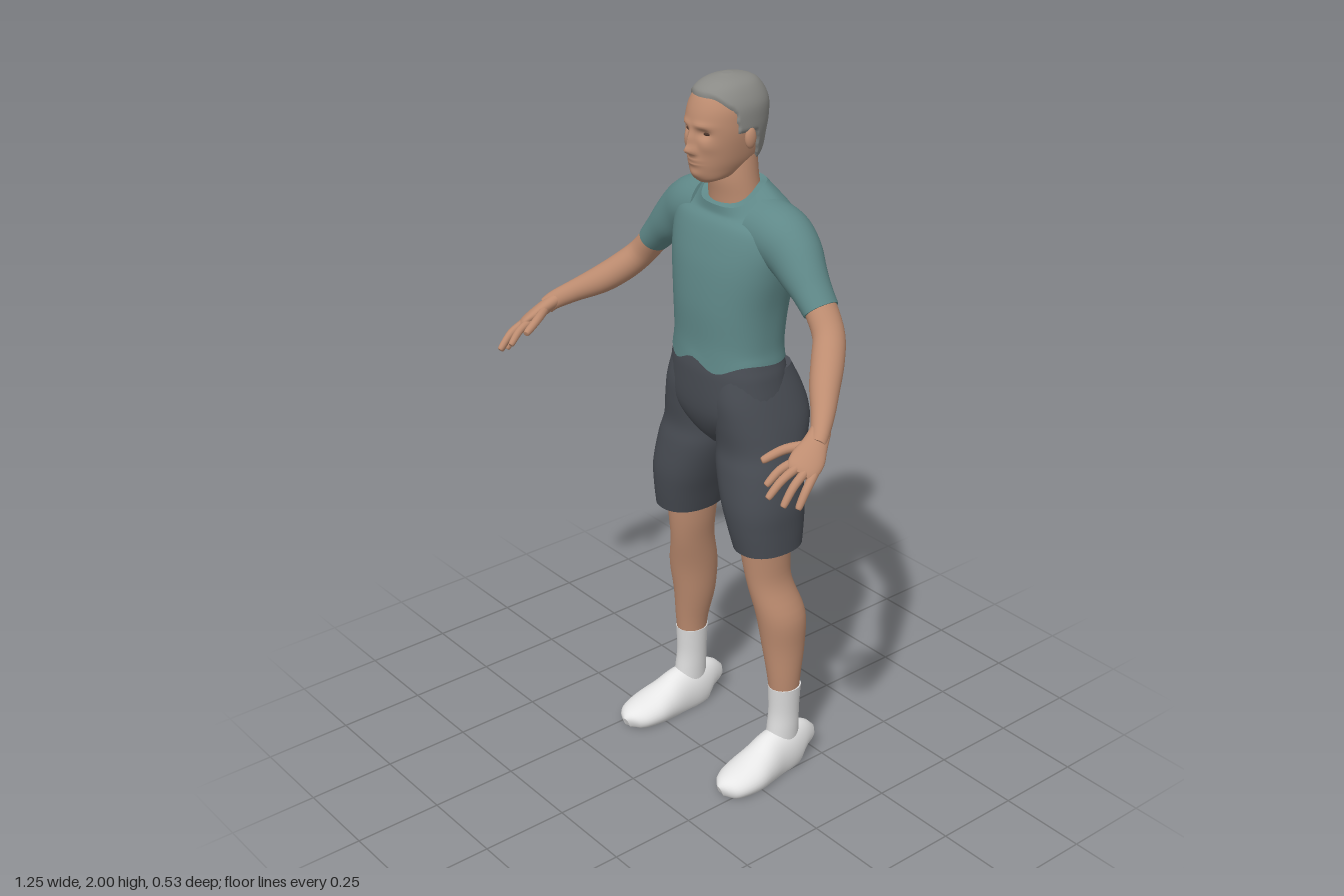
import * as THREE from 'three';

const mat = (name, color) => Object.assign(new THREE.MeshStandardMaterial({ color }), { name });
const V = (x, y, z) => new THREE.Vector3(x, y, z);

// Smooth (Catmull-Rom) interpolation through rows of numbers, t in 0..1
function sampleRows(rows, t) {
  const n = rows.length - 1, f = Math.min(t * n, n - 1e-6), i = Math.floor(f), u = f - i;
  const a = rows[Math.max(i - 1, 0)], b = rows[i], c = rows[i + 1], d = rows[Math.min(i + 2, n)];
  return b.map((p, k) => {
    const m0 = (c[k] - a[k]) / 2, m1 = (d[k] - p) / 2, e = c[k] - p;
    return p + u * (m0 + u * (3 * e - 2 * m0 - m1 + u * (m0 + m1 - 2 * e)));
  });
}

// Loft of superellipse sections; rows are [x, y, z, radiusU, radiusV]
function loft(name, material, rows, { ref = V(1, 0, 0), flat = false, seg = 32, steps = 24, exp = 2, warp } = {}) {
  const pos = [], idx = [], up = V(0, 1, 0);
  const pw = (v) => Math.sign(v) * Math.abs(v) ** (2 / exp);
  for (let i = 0; i <= steps; i++) {
    const r = sampleRows(rows, i / steps);
    const p = sampleRows(rows, Math.max(i / steps - 0.01, 0)), q = sampleRows(rows, Math.min(i / steps + 0.01, 1));
    const t = flat ? up : V(q[0] - p[0], q[1] - p[1], q[2] - p[2]).normalize();
    const u = ref.clone().addScaledVector(t, -ref.dot(t)).normalize();
    const v = t.clone().cross(u);
    for (let j = 0; j < seg; j++) {
      const a = j / seg * Math.PI * 2;
      const pt = V(r[0], r[1], r[2]).addScaledVector(u, r[3] * pw(Math.cos(a))).addScaledVector(v, r[4] * pw(Math.sin(a)));
      if (warp) warp(pt);
      pos.push(pt.x, pt.y, pt.z);
    }
  }
  for (let i = 0; i < steps; i++) for (let j = 0; j < seg; j++) {
    const k = (j + 1) % seg, a = i * seg + j, b = i * seg + k, c = a + seg, d = b + seg;
    idx.push(a, b, c, b, d, c);
  }
  // End caps with their own ring, so hems stay crisp
  for (const end of [0, steps]) {
    const s = end * seg, base = pos.length / 3, c = [0, 0, 0];
    for (let j = 0; j < seg; j++) for (let k = 0; k < 3; k++) {
      const val = pos[(s + j) * 3 + k];
      pos.push(val);
      c[k] += val / seg;
    }
    pos.push(...c);
    for (let j = 0; j < seg; j++) {
      const a = base + j, b = base + (j + 1) % seg;
      end ? idx.push(a, b, base + seg) : idx.push(b, a, base + seg);
    }
  }
  const g = new THREE.BufferGeometry();
  g.setAttribute('position', new THREE.Float32BufferAttribute(pos, 3));
  g.setIndex(idx);
  g.computeVertexNormals();
  const m = new THREE.Mesh(g, material);
  m.name = name;
  return m;
}

// Upright loft; rows are [y, xCentre, halfWidth, zFront, zBack], bottom to top
const column = (name, material, rows, opts) =>
  loft(name, material, rows.map(([y, x, w, f, b]) => [x, y, (f + b) / 2, w, (f - b) / 2]), { flat: true, ...opts });

function ball(name, material, p, s) {
  const m = new THREE.Mesh(new THREE.SphereGeometry(1, 20, 14).scale(...s).translate(...p), material);
  m.name = name;
  return m;
}

function mirrored(mesh) {
  const g = mesh.geometry.clone().scale(-1, 1, 1), ix = g.index.array;
  for (let i = 0; i < ix.length; i += 3) [ix[i], ix[i + 1]] = [ix[i + 1], ix[i]];
  g.computeVertexNormals();
  const m = new THREE.Mesh(g, mesh.material);
  m.name = mesh.name.replace('left', 'right');
  return m;
}

const gauss = (d, s) => Math.exp(-((d / s) ** 2));
const smooth = THREE.MathUtils.smoothstep;

// Face relief: [x, y, spreadX, spreadY, depth], mirrored in x
const FACE = [
  [0, 1.823, 0.012, 0.012, 0.022], [0, 1.848, 0.009, 0.022, 0.014], [0.011, 1.818, 0.007, 0.007, 0.006],
  [0.033, 1.867, 0.016, 0.011, -0.013], [0.03, 1.888, 0.024, 0.008, 0.005], [0, 1.792, 0.022, 0.010, 0.008],
  [0, 1.791, 0.022, 0.003, -0.006], [0, 1.757, 0.022, 0.013, 0.006], [0.045, 1.835, 0.018, 0.016, 0.004],
];
function faceWarp(p) {
  let dz = 0;
  for (const [x, y, sx, sy, d] of FACE) dz += d * gauss(Math.abs(p.x) - x, sx) * gauss(p.y - y, sy);
  p.z += dz * smooth(p.z, -0.04, 0.0);
}

// Height of the hairline for a given z
function hairline(z) {
  if (z > -0.045) return 1.955 - 0.03 * smooth(-z, 0.0, 0.045);
  if (z > -0.11) return 1.925 - 0.06 * smooth(-z, 0.045, 0.055);
  return 1.865 - 0.085 * smooth(-z, 0.11, 0.13);
}
function hairWarp(p) {
  const k = THREE.MathUtils.clamp((p.y - hairline(p.z)) * 0.8, -0.012, 0.006);
  faceWarp(p);
  p.addScaledVector(V(p.x, p.y - 1.88, p.z + 0.08).normalize(), k);
}

export function createModel() {
  const skin = mat('skin', 0xbd8c70), hair = mat('hair', 0x8a8a86), shirt = mat('shirt', 0x5f8888);
  const shorts = mat('shorts', 0x484c53), sock = mat('sock', 0xdadada), shoe = mat('shoe', 0xe6e6e6);
  const eye = mat('eye', 0x4a352b);
  const body = new THREE.Group();
  body.name = 'person';
  const pair = (m) => body.add(m, mirrored(m));

  // Head, hair and neck
  const skull = [
    [1.733, 0, 0.022, 0.002, -0.04], [1.745, 0, 0.045, 0.014, -0.09], [1.77, 0, 0.06, 0.024, -0.15],
    [1.80, 0, 0.071, 0.028, -0.178], [1.85, 0, 0.081, 0.03, -0.186], [1.89, 0, 0.084, 0.03, -0.193],
    [1.93, 0, 0.082, 0.02, -0.192], [1.965, 0, 0.066, 0.0, -0.175], [1.984, 0, 0.045, -0.03, -0.15],
    [1.994, 0, 0.012, -0.07, -0.1],
  ];
  const dense = { seg: 96, steps: 72, exp: 2.15 };
  body.add(column('head', skin, skull, { ...dense, warp: faceWarp }));
  body.add(column('hair', hair, skull, { ...dense, warp: hairWarp }));
  body.add(column('neck', skin, [
    [1.60, 0, 0.082, -0.055, -0.185], [1.68, 0, 0.076, -0.05, -0.178], [1.74, 0, 0.07, -0.043, -0.17], [1.81, 0, 0.064, -0.05, -0.165],
  ]));
  pair(ball('left ear', skin, [0.086, 1.85, -0.09], [0.011, 0.028, 0.017]));
  pair(ball('left eye', eye, [0.033, 1.867, 0.009], [0.012, 0.005, 0.006]));

  // Shirt body with a scooped collar, spine groove and wavy hem
  body.add(column('shirt body', shirt, [
    [1.243, 0, 0.166, 0.03, -0.222], [1.30, 0, 0.161, 0.026, -0.22], [1.40, 0, 0.168, 0.027, -0.232],
    [1.50, 0, 0.19, 0.017, -0.245], [1.57, 0, 0.203, 0.0, -0.246], [1.62, 0, 0.197, -0.018, -0.238],
    [1.66, 0, 0.168, -0.03, -0.224], [1.69, 0, 0.132, -0.038, -0.205], [1.722, 0, 0.093, -0.04, -0.182],
  ], {
    seg: 64, steps: 48, exp: 2.3, warp: (p) => {
      const front = smooth(p.z, -0.15, -0.04);
      p.y -= 0.058 * front * smooth(p.y, 1.6, 1.722);
      p.y += (0.005 + 0.009 * front) * Math.cos(Math.abs(p.x) * 40) * (1 - smooth(p.y, 1.24, 1.29));
      if (p.z < -0.15) p.z += 0.02 * gauss(p.x, 0.035) * smooth(p.y, 1.25, 1.4) * (1 - smooth(p.y, 1.6, 1.7));
    },
  }));

  // Sleeves and arms
  const along = { ref: V(0, 0, 1) };
  pair(loft('left sleeve', shirt, [
    [0.10, 1.608, -0.13, 0.085, 0.085], [0.165, 1.598, -0.13, 0.083, 0.083], [0.215, 1.57, -0.128, 0.074, 0.076],
    [0.262, 1.53, -0.12, 0.062, 0.062], [0.30, 1.495, -0.116, 0.054, 0.049], [0.336, 1.458, -0.114, 0.05, 0.042],
  ], along));
  pair(loft('left arm', skin, [
    [0.30, 1.50, -0.114, 0.044, 0.038], [0.338, 1.456, -0.114, 0.045, 0.038], [0.38, 1.405, -0.102, 0.043, 0.039],
    [0.418, 1.36, -0.065, 0.043, 0.041], [0.46, 1.32, -0.018, 0.039, 0.039], [0.51, 1.285, 0.032, 0.031, 0.031],
    [0.55, 1.255, 0.078, 0.024, 0.026], [0.562, 1.238, 0.10, 0.022, 0.024],
  ], along));

  // Hands
  pair(loft('left palm', skin, [
    [0.545, 1.26, 0.07, 0.026, 0.02], [0.56, 1.238, 0.102, 0.032, 0.02], [0.573, 1.215, 0.135, 0.042, 0.019],
    [0.581, 1.198, 0.163, 0.04, 0.015], [0.584, 1.19, 0.175, 0.03, 0.009],
  ], { ref: V(0.75, -0.4, -0.5), steps: 16 }));
  const fingers = {
    thumb: [[0.553, 1.236, 0.11], [0.518, 1.227, 0.162], [0.498, 1.207, 0.213]],
    index: [[0.556, 1.21, 0.158], [0.547, 1.196, 0.203], [0.54, 1.166, 0.238]],
    middle: [[0.573, 1.205, 0.163], [0.571, 1.183, 0.217], [0.567, 1.148, 0.256]],
    ring: [[0.59, 1.195, 0.158], [0.596, 1.17, 0.202], [0.597, 1.13, 0.234]],
    little: [[0.603, 1.187, 0.143], [0.612, 1.158, 0.176], [0.615, 1.12, 0.202]],
  };
  for (const [name, [a, b, c]] of Object.entries(fingers)) {
    const r = name === 'thumb' ? 0.013 : 0.0115;
    const tip = c.map((v, k) => v + (c[k] - b[k]) * 0.08);
    pair(loft(`left ${name} finger`, skin, [[...a, r, r], [...b, r * 0.95, r * 0.95], [...c, r * 0.75, r * 0.75], [...tip, 0.002, 0.002]], { seg: 12, steps: 15 }));
  }

  // Shorts
  body.add(column('shorts waist', shorts, [
    [0.985, 0, 0.02, -0.045, -0.14], [1.03, 0, 0.10, -0.005, -0.19], [1.10, 0, 0.18, 0.024, -0.222],
    [1.20, 0, 0.174, 0.03, -0.224], [1.245, 0, 0.163, 0.027, -0.218], [1.285, 0, 0.152, 0.018, -0.208],
  ], { seg: 48, exp: 2.3 }));
  pair(column('left shorts leg', shorts, [
    [0.722, 0.169, 0.079, 0.002, -0.196], [0.79, 0.159, 0.09, 0.014, -0.206], [0.86, 0.146, 0.103, 0.02, -0.212],
    [0.95, 0.124, 0.111, 0.013, -0.217], [1.01, 0.112, 0.110, 0.004, -0.244], [1.08, 0.103, 0.104, 0.012, -0.265],
    [1.15, 0.092, 0.094, 0.018, -0.252], [1.22, 0.083, 0.078, 0.01, -0.222],
  ], { seg: 40, steps: 35, exp: 2.25 }));

  // Legs and socks
  pair(column('left leg', skin, [
    [0.22, 0.207, 0.038, -0.093, -0.177], [0.30, 0.205, 0.045, -0.085, -0.184], [0.40, 0.196, 0.056, -0.073, -0.202],
    [0.50, 0.191, 0.063, -0.056, -0.203], [0.60, 0.168, 0.053, -0.038, -0.176], [0.68, 0.16, 0.058, -0.026, -0.174],
    [0.77, 0.158, 0.065, -0.015, -0.185],
  ]));
  pair(column('left sock', sock, [
    [0.06, 0.208, 0.04, -0.07, -0.182], [0.13, 0.208, 0.041, -0.082, -0.181], [0.19, 0.207, 0.041, -0.089, -0.181], [0.268, 0.207, 0.045, -0.087, -0.184],
  ]));

  // Shoes, flattened underneath; rows are [z, xCentre, halfWidth, height]
  pair(loft('left shoe', shoe, [
    [-0.203, 0.208, 0.012, 0.07], [-0.192, 0.208, 0.036, 0.115], [-0.15, 0.209, 0.048, 0.134], [-0.09, 0.211, 0.053, 0.128],
    [-0.04, 0.215, 0.06, 0.102], [0.01, 0.219, 0.066, 0.08], [0.06, 0.22, 0.059, 0.063], [0.09, 0.218, 0.042, 0.05], [0.107, 0.216, 0.012, 0.032],
  ].map(([z, x, w, h]) => [x, h * 0.36, z, w, h * 0.64]), {
    steps: 32, warp: (p) => { p.y = Math.max(p.y, 0.004 - 0.004 * smooth(p.z, -0.2, -0.1)); },
  }));

  return body;
}
